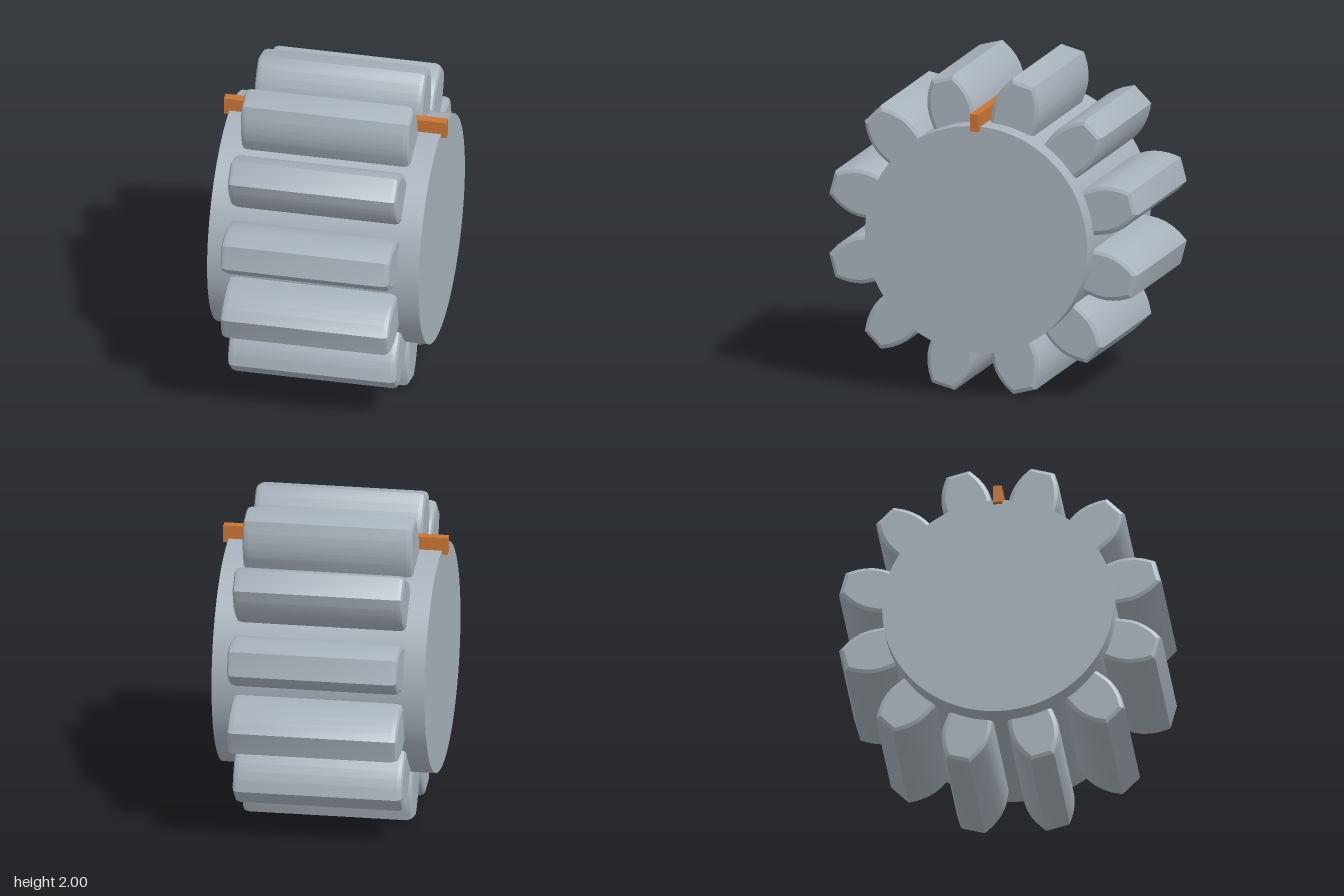
import * as THREE from 'three';
import { toCreasedNormals } from 'three/addons/utils/BufferGeometryUtils.js';

const TEETH = 12;
const HUB_RADIUS = 0.717;
const HUB_WIDTH = 1.33;
const TOOTH_WIDTH = 1.06;
const BEVEL = 0.035;

// One tooth: bulging flanks and a flat tip, extruded along the axle (x).
function toothGeometry() {
  // [half width, radius] from root to tip
  const flank = [
    [0.135, 0.66], [0.146, 0.71], [0.152, 0.76], [0.155, 0.8], [0.151, 0.85],
    [0.138, 0.9], [0.117, 0.95], [0.097, 0.983], [0.076, 1.015],
  ];
  const right = flank.map(([w, r]) => new THREE.Vector2(w, r));
  const left = flank.map(([w, r]) => new THREE.Vector2(-w, r)).reverse();
  const geo = new THREE.ExtrudeGeometry(new THREE.Shape([...right, ...left]), {
    depth: TOOTH_WIDTH - 2 * BEVEL,
    bevelThickness: BEVEL,
    bevelSize: 0.03,
    bevelOffset: -0.03,
    bevelSegments: 2,
  });
  geo.translate(0, 0, BEVEL - TOOTH_WIDTH / 2);
  geo.rotateY(Math.PI / 2);
  return toCreasedNormals(geo, 0.35);
}

export function createModel() {
  const steel = new THREE.MeshStandardMaterial({ name: 'steel grey', color: 0xa8b2bb });
  const orange = new THREE.MeshStandardMaterial({ name: 'orange', color: 0xc87533 });

  const model = new THREE.Group();
  model.name = 'pinionGear';

  const gear = new THREE.Group();
  gear.name = 'gear';
  gear.position.y = 1;
  model.add(gear);

  // Solid hub
  const hub = new THREE.Mesh(
    new THREE.CylinderGeometry(HUB_RADIUS, HUB_RADIUS, HUB_WIDTH, 72).rotateZ(Math.PI / 2),
    steel
  );
  hub.name = 'hub';
  gear.add(hub);

  // Ring of teeth, with a gap at the top
  const toothGeo = toothGeometry();
  for (let i = 0; i < TEETH; i++) {
    const tooth = new THREE.Mesh(toothGeo, steel);
    tooth.name = `tooth${i + 1}`;
    tooth.rotation.x = ((i + 0.5) / TEETH) * Math.PI * 2;
    gear.add(tooth);
  }

  // Marker bar lying in the top gap
  const marker = new THREE.Mesh(new THREE.BoxGeometry(1.4, 0.11, 0.056), orange);
  marker.name = 'markerBar';
  marker.position.y = 1.745;
  model.add(marker);

  return model;
}
